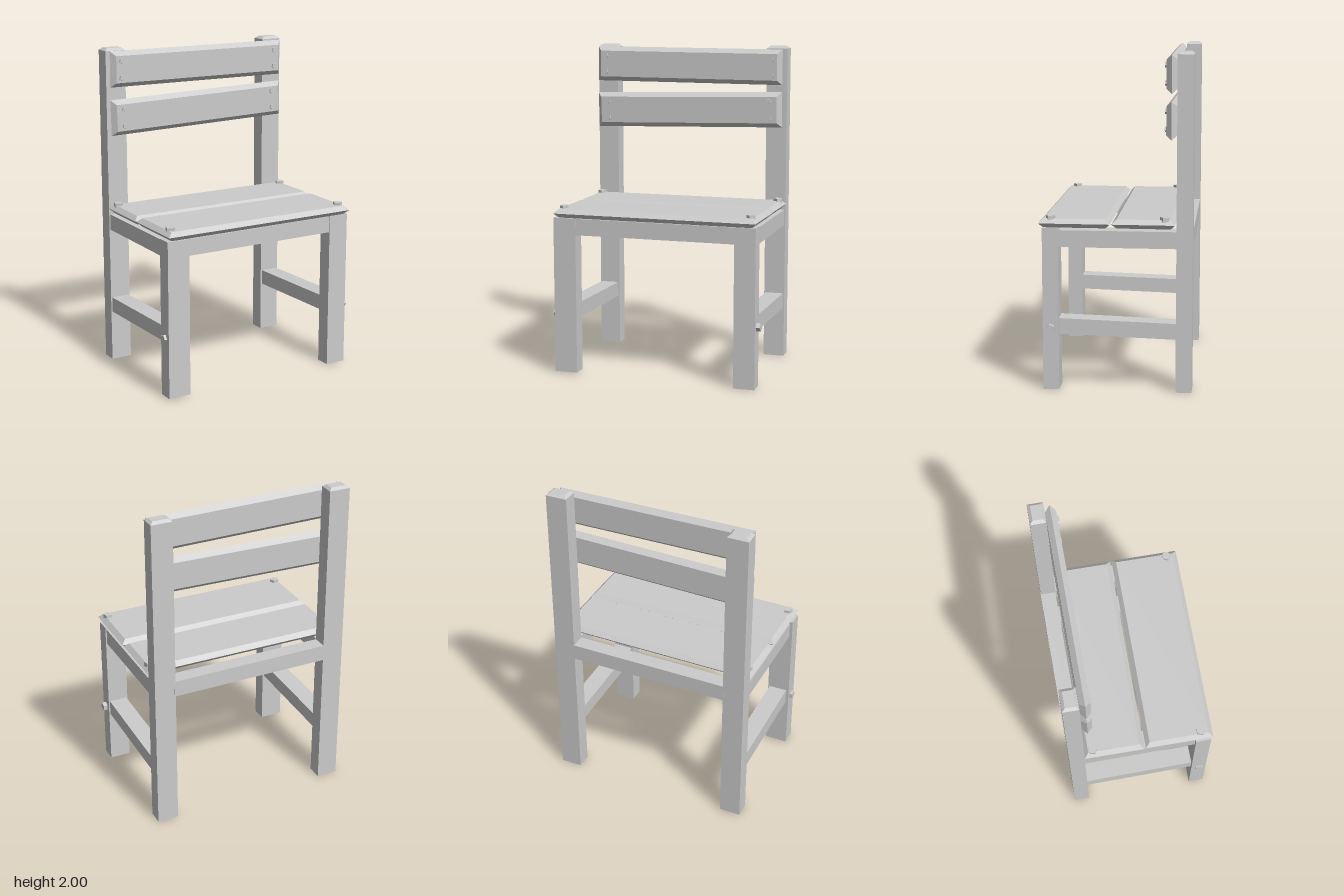
import * as THREE from 'three';

const material = new THREE.MeshStandardMaterial({ color: 0xcccccc, flatShading: true });

function addMesh(parent, name, geometry) {
  const flat = geometry.index ? geometry.toNonIndexed() : geometry;
  flat.computeVertexNormals();
  const mesh = new THREE.Mesh(flat, material);
  mesh.name = name;
  parent.add(mesh);
  return mesh;
}

// Applies a rule to every vertex of a geometry
function warp(geometry, rule) {
  const p = geometry.attributes.position;
  const v = new THREE.Vector3();
  for (let i = 0; i < p.count; i++) {
    rule(v.fromBufferAttribute(p, i));
    p.setXYZ(i, v.x, v.y, v.z);
  }
  return geometry;
}

// Plain beam between two corners
function beam([x0, y0, z0], [x1, y1, z1]) {
  return new THREE.BoxGeometry(x1 - x0, y1 - y0, z1 - z0)
    .translate((x0 + x1) / 2, (y0 + y1) / 2, (z0 + z1) / 2);
}

// Plank lying in the xy plane, widest halfway through its thickness
function plank(width, height, thickness, bevel) {
  return warp(new THREE.BoxGeometry(width, height, thickness, 1, 1, 2), v => {
    if (Math.abs(v.z) < 1e-5) return;
    v.x -= Math.sign(v.x) * bevel;
    v.y -= Math.sign(v.y) * bevel;
  });
}

// Upright post with a chamfered top
function post(width, height, depth, chamfer, drop) {
  return warp(new THREE.BoxGeometry(width, height, depth, 1, 2, 1), v => {
    if (Math.abs(v.y) < 1e-5) v.y = height / 2 - drop;
    else if (v.y > 0) {
      v.x -= Math.sign(v.x) * chamfer;
      v.z -= Math.sign(v.z) * chamfer;
    }
  }).translate(0, height / 2, 0);
}

// Five-sided bolt head with its axis along y
const bolt = (radius, height) => new THREE.CylinderGeometry(radius, radius, height, 5);

export function createModel() {
  const chair = new THREE.Group();
  chair.name = 'chair';

  for (const side of [-1, 1]) {
    const label = side > 0 ? 'left' : 'right';
    const span = (a, b) => (side > 0 ? [a, b] : [-b, -a]);

    // Legs
    addMesh(chair, label + 'BackPost', post(0.132, 2, 0.095, 0.018, 0.015))
      .position.set(side * 0.564, 0, -0.403);
    const [f0, f1] = side > 0 ? [0.5, 0.63] : [-0.64, -0.497];
    addMesh(chair, label + 'FrontLeg',
      beam([f0, side > 0 ? 0 : 0.008, 0.335], [f1, 0.975, 0.43]));

    // Seat rail and lower stretcher, which dips towards the back
    const [r0, r1] = span(0.508, 0.622);
    addMesh(chair, label + 'SeatRail', beam([r0, 0.862, -0.36], [r1, 0.962, 0.34]));
    addMesh(chair, label + 'Stretcher', warp(beam([r0, 0.33, -0.36], [r1, 0.425, 0.34]),
      v => { v.y += v.z * 0.028; }));

    // Bolt through the front leg
    const legBolt = addMesh(chair, label + 'LegBolt', bolt(0.027, 0.04));
    legBolt.rotation.z = -side * Math.PI / 2;
    legBolt.position.set(side * 0.636, 0.376, 0.383);
  }

  // Front and back rails
  addMesh(chair, 'frontRail', beam([-0.5, 0.872, 0.338], [0.505, 0.973, 0.425]));
  addMesh(chair, 'backRail', beam([-0.505, 0.868, -0.452], [0.505, 0.968, -0.357]));

  // Seat planks, slightly skewed
  for (const [name, z, depth] of [['frontSeatPlank', 0.237, 0.42], ['backSeatPlank', -0.167, 0.37]]) {
    const seat = addMesh(chair, name, plank(1.268, depth, 0.054, 0.027).rotateX(-Math.PI / 2));
    seat.position.set(0, 1.002, z);
    seat.rotation.y = -0.007;
  }
  for (const [x, z] of [[-0.59, 0.37], [0.59, 0.382], [-0.592, -0.3], [0.597, -0.288]]) {
    const seatBolt = addMesh(chair, 'seatBolt', bolt(0.029, 0.03));
    seatBolt.position.set(x, 1.03, z);
    seatBolt.rotation.y = x * 2;
  }

  // Backrest slats with a bolt near each corner
  for (const [name, y, tilt, boltX] of [['upperSlat', 1.873, -0.007, 0.55], ['lowerSlat', 1.59, 0.021, 0.535]]) {
    const slat = new THREE.Group();
    slat.name = name;
    slat.position.set(-0.006, y, -0.322);
    slat.rotation.z = tilt;
    chair.add(slat);
    addMesh(slat, name + 'Board', plank(1.226, 0.222, 0.064, 0.028));
    for (const sx of [-1, 1]) for (const sy of [-1, 1]) {
      const head = addMesh(slat, 'slatBolt', bolt(0.017, 0.024));
      head.rotation.x = Math.PI / 2;
      head.position.set(sx * boltX, sy * 0.052, 0.031);
    }
  }
  return chair;
}
